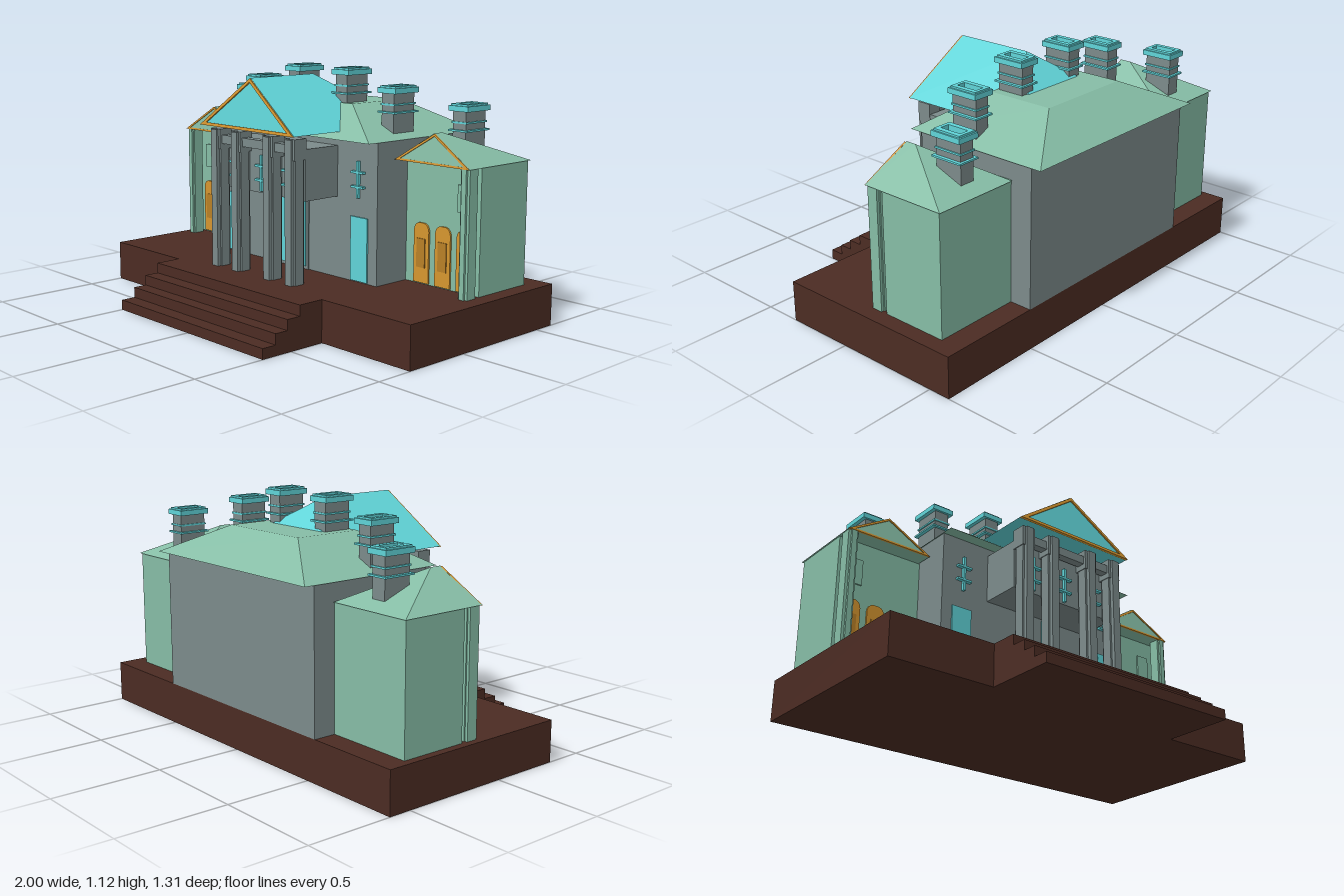
import * as THREE from 'three';

const mat = (name, color, side = THREE.FrontSide) => {
  const m = new THREE.MeshStandardMaterial({ color, side });
  m.name = name;
  return m;
};

export function createModel() {
  const stone = mat('grey stone', 0x7c8b8b);
  const green = mat('sage green', 0x86bda6);
  const cyan = mat('bright cyan', 0x60d4d8);
  const orange = mat('amber trim', 0xd6962f);
  const amber = mat('dark amber', 0xb98026);
  const brown = mat('brown base', 0x4c2c23);

  const root = new THREE.Group();
  root.name = 'mansion';
  // The house sits slightly to one side of the terrace
  const house = new THREE.Group();
  house.name = 'house';
  house.position.x = -0.02;
  root.add(house);

  const add = (parent, name, geo, m) => {
    const mesh = new THREE.Mesh(geo, m);
    mesh.name = name;
    parent.add(mesh);
    return mesh;
  };
  // Box given by its limits on each axis
  const box = (parent, name, m, x0, x1, y0, y1, z0, z1) => {
    const b = add(parent, name, new THREE.BoxGeometry(x1 - x0, y1 - y0, z1 - z0), m);
    b.position.set((x0 + x1) / 2, (y0 + y1) / 2, (z0 + z1) / 2);
    return b;
  };
  // Roof solid between a lower and an upper rectangle [x0, x1, z0, z1, y]
  const roof = (parent, name, m, lo, hi) => {
    const ring = ([x0, x1, z0, z1, y]) => [[x0, y, z1], [x1, y, z1], [x1, y, z0], [x0, y, z0]];
    const a = ring(lo), b = ring(hi), pos = [];
    const quad = (p, q, r, s) => pos.push(...p, ...q, ...r, ...p, ...r, ...s);
    for (let i = 0; i < 4; i++) {
      const j = (i + 1) % 4;
      quad(a[i], a[j], b[j], b[i]);
    }
    quad(b[0], b[1], b[2], b[3]);
    quad(a[3], a[2], a[1], a[0]);
    const g = new THREE.BufferGeometry();
    g.setAttribute('position', new THREE.Float32BufferAttribute(pos, 3));
    g.computeVertexNormals();
    return add(parent, name, g, m);
  };
  // Triangular gable frame, leaning back by "lean" at its apex
  const gableTrim = (parent, x, y, z, half, h, w, lean, depth) => {
    const s = new THREE.Shape([[-half, 0], [half, 0], [0, h]].map(p => new THREE.Vector2(...p)));
    const k = w * Math.hypot(half, h) / h + w * half / h;
    s.holes.push(new THREE.Path([[-half + k, w], [0, h - w * Math.hypot(half, h) / half], [half - k, w]]
      .map(p => new THREE.Vector2(...p))));
    const t = add(parent, 'gableTrim', new THREE.ExtrudeGeometry(s, { depth, bevelEnabled: false }), orange);
    t.position.set(x, y, z);
    t.rotation.x = -Math.atan(lean / h);
  };
  // Window cross: one upright and two crossbars
  const windowCross = (x, z) => {
    const g = new THREE.Group();
    g.name = 'window';
    house.add(g);
    box(g, 'upright', cyan, x - 0.006, x + 0.006, 0.57, 0.735, z, z + 0.015);
    for (const y of [0.62, 0.685]) box(g, 'crossbar', cyan, x - 0.037, x + 0.037, y - 0.005, y + 0.005, z, z + 0.018);
  };
  // Chimney with a ring and a hollow cap
  const chimney = (x, z, base, top) => {
    const g = new THREE.Group();
    g.name = 'chimney';
    g.position.set(x, 0, z);
    house.add(g);
    box(g, 'shaft', stone, -0.036, 0.036, base, top - 0.025, -0.066, 0.066);
    box(g, 'ring', cyan, -0.052, 0.052, top - 0.12, top - 0.112, -0.078, 0.078);
    box(g, 'neckBand', cyan, -0.042, 0.042, top - 0.085, top - 0.077, -0.07, 0.07);
    const rect = (C, a, b) => new C([[-a, -b], [a, -b], [a, b], [-a, b]].map(p => new THREE.Vector2(...p)));
    const layer = (a, b, y, depth) => {
      const s = rect(THREE.Shape, a, b);
      s.holes.push(rect(THREE.Path, 0.022, 0.052));
      const cap = add(g, 'cap', new THREE.ExtrudeGeometry(s, { depth, bevelEnabled: false }), cyan);
      cap.rotation.x = -Math.PI / 2;
      cap.position.y = y;
    };
    layer(0.054, 0.077, top - 0.032, 0.024);
    layer(0.046, 0.069, top - 0.008, 0.008);
  };

  // Terrace and stairs
  box(root, 'terrace', brown, -1, 1, 0, 0.19, -0.605, 0.325);
  [[0.19, 0.45], [0.142, 0.52], [0.095, 0.585], [0.047, 0.655]].forEach(([y, z], i, all) =>
    box(root, 'step', brown, -0.5, 0.5, 0, y, i ? all[i - 1][1] : 0.325, z));

  // Central block with flat-topped hip roof
  box(house, 'mainBlock', stone, -0.53, 0.53, 0.19, 0.825, -0.605, 0.005);
  roof(house, 'mainRoof', green, [-0.535, 0.535, -0.655, 0.065, 0.825], [-0.24, 0.24, -0.455, -0.13, 0.962]);

  // Portico: upper room, columns, beams and gable roof
  box(house, 'upperRoom', stone, -0.285, 0.285, 0.56, 0.79, 0, 0.2);
  for (const x of [-0.255, -0.11, 0.11, 0.255]) {
    const c = new THREE.Group();
    c.name = 'column';
    house.add(c);
    box(c, 'shaft', stone, x - 0.02, x + 0.02, 0.19, 0.835, 0.2, 0.278);
    box(c, 'shaftSides', stone, x - 0.029, x + 0.029, 0.19, 0.835, 0.212, 0.26);
    box(c, 'capital', stone, x - 0.033, x + 0.033, 0.745, 0.838, 0.197, 0.267);
  }
  box(house, 'beam', stone, -0.255, 0.255, 0.77, 0.81, 0.215, 0.255);
  roof(house, 'porticoRoof', cyan, [-0.325, 0.315, -0.42, 0.295, 0.855], [-0.008, -0.008, -0.12, 0.262, 1.085]);
  gableTrim(house, -0.006, 0.852, 0.29, 0.32, 0.232, 0.014, 0.033, 0.012);
  for (const x of [-0.18, 0, 0.18]) windowCross(x, 0.2);

  // Entrance with two door leaves
  box(house, 'doorFrame', stone, -0.1, 0.1, 0.19, 0.56, 0, 0.012);
  for (const s of [-1, 1]) {
    box(house, 'doorLeaf', cyan, s * 0.055 - 0.031, s * 0.055 + 0.031, 0.205, 0.55, 0.012, 0.018);
    box(house, 'sideDoor', cyan, s * 0.425 - 0.051, s * 0.425 + 0.051, 0.195, 0.485, 0.005, 0.012);
    windowCross(s * 0.42, 0.005);
    chimney(s * 0.16, -0.205, 0.9, 1.12);
    chimney(s * 0.45, -0.205, 0.83, 1.055);
    chimney(s * 0.72, -0.37, 0.76, 0.985);
  }

  // Arched panel shape
  const arch = new THREE.Shape();
  arch.moveTo(-0.043, 0);
  arch.lineTo(0.043, 0);
  arch.lineTo(0.043, 0.235);
  arch.quadraticCurveTo(0.04, 0.265, 0.015, 0.27);
  arch.lineTo(-0.015, 0.27);
  arch.quadraticCurveTo(-0.04, 0.265, -0.043, 0.235);
  const archGeo = new THREE.ExtrudeGeometry(arch, { depth: 0.008, bevelEnabled: false, curveSegments: 4 });

  // Side wings
  for (const s of [-1, 1]) {
    const span = (a, b) => (s > 0 ? [a, b] : [-b, -a]);
    const wing = new THREE.Group();
    wing.name = s > 0 ? 'leftWing' : 'rightWing';
    house.add(wing);
    box(wing, 'wingWalls', green, ...span(0.5, 0.945), 0.19, 0.745, -0.5, -0.185);
    box(wing, 'cornerColumn', green, ...span(0.9, 0.948), 0.19, 0.745, -0.157, -0.105);
    box(wing, 'cornerColumnCore', green, ...span(0.91, 0.935), 0.19, 0.745, -0.163, -0.095);
    roof(wing, 'wingRoof', green, [...span(0.535, 0.953), -0.51, -0.097, 0.745], [s * 0.738, s * 0.738, -0.17, -0.118, 0.875]);
    gableTrim(wing, s * 0.744, 0.743, -0.101, 0.209, 0.131, 0.009, 0.02, 0.008);
    box(wing, 'upperPanel', green, ...span(0.825, 0.895), 0.54, 0.66, -0.185, -0.177);
    for (const x of [0.625, 0.747, 0.867]) {
      add(wing, 'archedWindow', archGeo, orange).position.set(s * x, 0.195, -0.185);
      box(wing, 'windowPanel', amber, s * x - 0.024, s * x + 0.024, 0.265, 0.395, -0.178, -0.173);
    }
  }
  return root;
}
